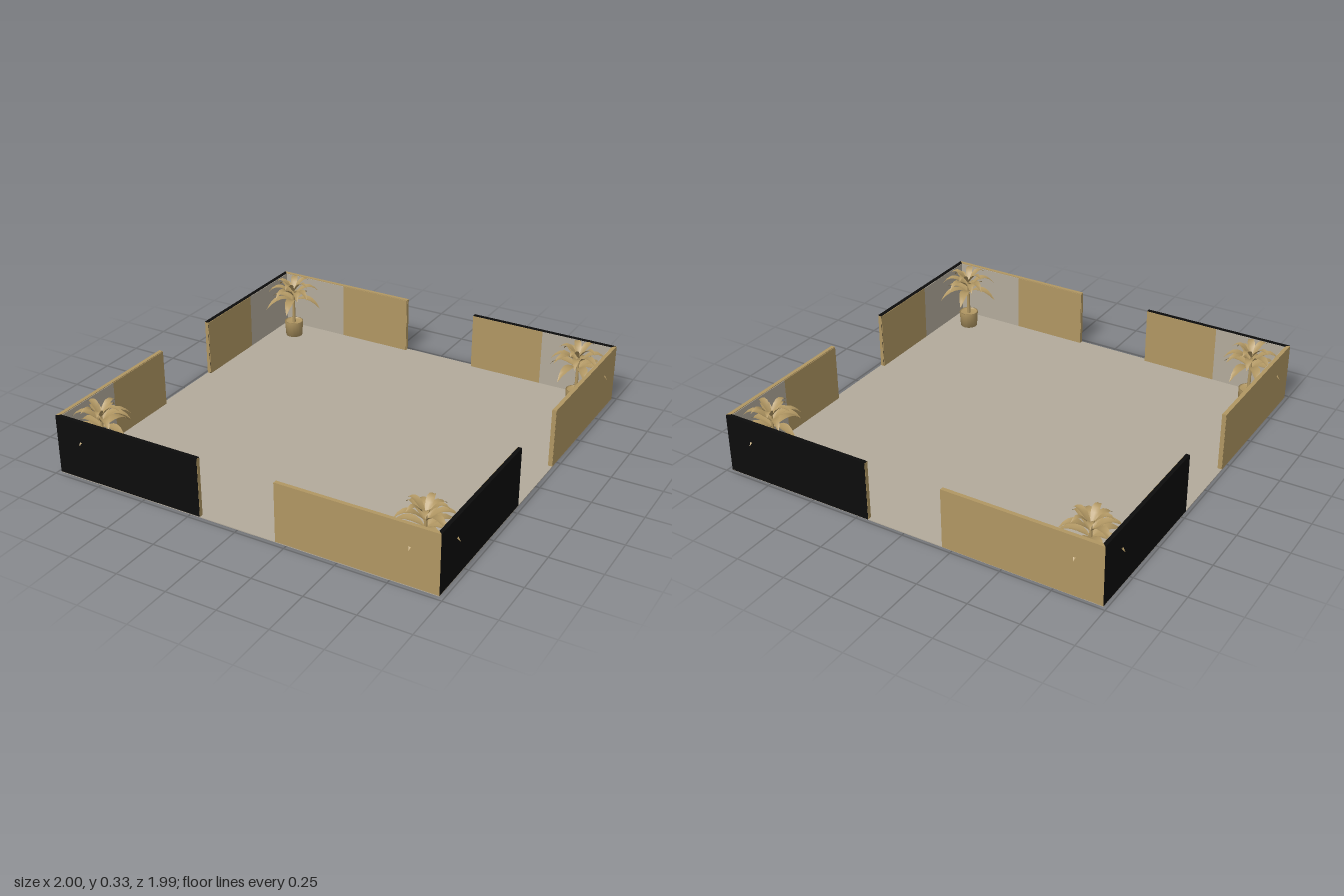
import * as THREE from 'three';

const HALF = 0.981, GAP = 0.197, HEIGHT = 0.3, THICK = 0.019, SPLIT = 0.59;

const tan = new THREE.MeshStandardMaterial({ color: 0xb09662 });
const black = new THREE.MeshStandardMaterial({ color: 0x0b0b0b });
const stone = new THREE.MeshStandardMaterial({ color: 0xb2aa9b });
const leafTan = tan.clone();
leafTan.side = THREE.DoubleSide;
tan.name = 'tan';
leafTan.name = 'leaf tan';
black.name = 'black';
stone.name = 'stone grey';

function add(parent, name, geometry, material, x = 0, y = 0, z = 0) {
  const mesh = new THREE.Mesh(geometry, material);
  mesh.name = name;
  mesh.position.set(x, y, z);
  parent.add(mesh);
  return mesh;
}

// Front wall panel on one side (+1 or -1), mitred at the corner
function wall(side, material, name) {
  const g = new THREE.Group();
  g.name = name;
  const plan = [[GAP, -HALF], [HALF, -HALF], [HALF - THICK, -HALF + THICK], [GAP, -HALF + THICK]];
  const shape = new THREE.Shape(plan.map(([x, y]) => new THREE.Vector2(side * x, y)));
  const body = new THREE.ExtrudeGeometry(shape, { depth: HEIGHT - 0.002, bevelEnabled: false });
  body.rotateX(-Math.PI / 2);
  add(g, 'wallBody', body, material, 0, 0.002, 0);

  // Inner cladding: tan by the opening, grey by the corner
  const zIn = HALF - THICK - 0.0015, inner = HALF - THICK;
  const clad = (a, b, mat, label) => add(g, label,
    new THREE.BoxGeometry(b - a, HEIGHT - 0.006, 0.003), mat, side * (a + b) / 2, HEIGHT / 2, zIn);
  clad(GAP, SPLIT, tan, 'innerTanPanel');
  clad(SPLIT, inner, stone, 'innerGreyPanel');
  // End cap facing the opening
  add(g, 'endCap', new THREE.BoxGeometry(0.003, HEIGHT - 0.006, THICK - 0.002), tan,
    side * GAP, HEIGHT / 2, HALF - THICK / 2);
  return g;
}

// Folded leaf along +x: rises from the crown, then arches over
function leafGeometry(length, width, rise, droop) {
  const rows = 7, pos = [], idx = [];
  for (let i = 0; i < rows; i++) {
    const t = i / (rows - 1);
    const x = length * t;
    const y = rise * Math.sin(t * Math.PI * 0.6) - droop * t * t;
    const w = width * (0.08 + 0.92 * Math.sin(Math.PI * Math.pow(t, 0.85))) * (i === rows - 1 ? 0 : 0.5);
    pos.push(x, y + w * 0.35, -w, x, y, 0, x, y + w * 0.35, w);
    if (i === 0) continue;
    const a = (i - 1) * 3, b = i * 3;
    for (const k of [0, 1]) idx.push(a + k, a + k + 1, b + k, b + k, a + k + 1, b + k + 1);
  }
  const geo = new THREE.BufferGeometry();
  geo.setAttribute('position', new THREE.Float32BufferAttribute(pos, 3));
  geo.setIndex(idx);
  geo.computeVertexNormals();
  return geo;
}

function plant() {
  const g = new THREE.Group();
  g.name = 'pottedPlant';
  // Pot with a recessed soil surface
  const profile = [[0, 0], [0.045, 0], [0.051, 0.082], [0.045, 0.082], [0.044, 0.074], [0, 0.074]];
  add(g, 'pot', new THREE.LatheGeometry(profile.map(([x, y]) => new THREE.Vector2(x, y)), 20), tan);
  add(g, 'trunk', new THREE.CylinderGeometry(0.006, 0.01, 0.19, 8), tan, 0, 0.165, 0);

  // Whorls of leaves: [angles in degrees, crown height, length, width, rise, droop]
  const whorls = [
    [[-8, 73, 127, 178, 225, 268], 0.2, 0.16, 0.05, 0.055, 0.075],
    [[26, 50, 103, 152, 205, 323], 0.23, 0.14, 0.045, 0.08, 0.055],
    [[10, 85, 165, 245, 300], 0.255, 0.1, 0.036, 0.08, 0.028],
  ];
  whorls.forEach(([angles, y, ...dims]) => {
    const geo = leafGeometry(...dims);
    for (const deg of angles) {
      add(g, 'leaf', geo, leafTan, 0, y, 0).rotation.y = -THREE.MathUtils.degToRad(deg);
    }
  });
  return g;
}

export function createModel() {
  const model = new THREE.Group();
  model.name = 'walledCourt';
  const court = new THREE.Group();
  court.name = 'court';
  court.position.set(-0.0025, 0, -0.0025);
  model.add(court);

  add(court, 'floor', new THREE.BoxGeometry(HALF * 2, 0.004, HALF * 2), stone, 0, 0.002, 0);

  // Each side has a black panel on one half and a tan panel on the other
  for (let i = 0; i < 4; i++) {
    const side = new THREE.Group();
    side.name = 'wallSide';
    side.rotation.y = i * Math.PI / 2;
    side.add(wall(-1, black, 'blackWall'), wall(1, tan, 'tanWall'));
    court.add(side);
  }

  // Plants mirrored into the four corners
  for (const sx of [-1, 1]) for (const sz of [-1, 1]) {
    const p = plant();
    p.position.set(sx * 0.838, 0.004, sz * 0.835);
    p.scale.set(-sx, 1, -sz);
    court.add(p);
  }
  return model;
}
